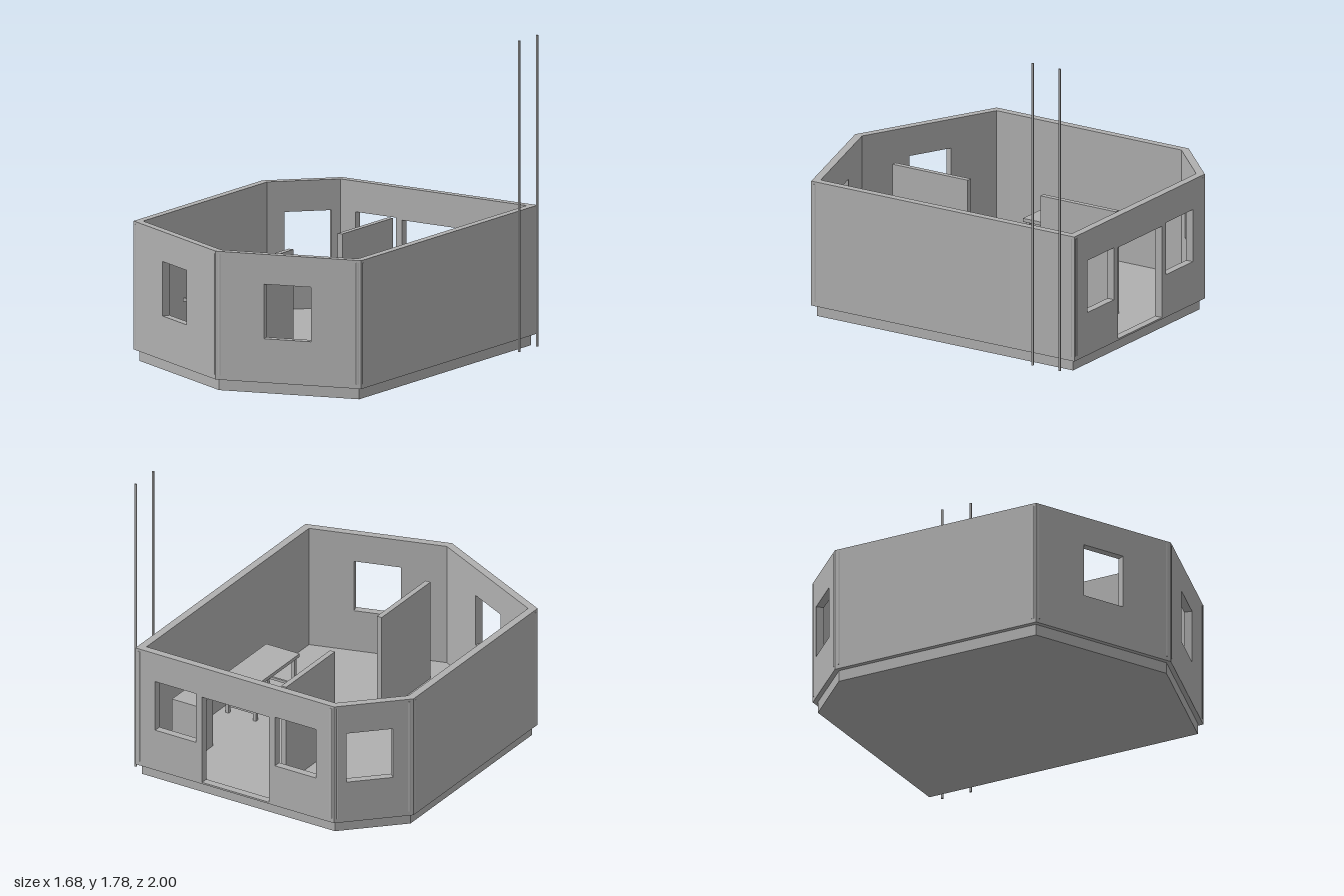
import * as THREE from 'three';

const grey = new THREE.MeshStandardMaterial({ color: 0xb0b0b0 });
grey.name = 'plain grey';

const WALL_BOTTOM = 0.065, WALL_TOP = 0.795, T = 0.045, CENTRE = -0.025;

// Outer wall corners as (x, z), with the openings of the wall that starts there: [x0, x1, y0, y1]
const plan = [
  { p: [-0.84, 0.6], openings: [[-0.55, -0.31, 0.315, 0.625]] },
  { p: [-0.02, 1.0], openings: [[0.25, 0.51, 0.315, 0.625]] },
  { p: [0.79, 0.755], openings: [] },
  { p: [0.79, -1.0], openings: [[0.39, 0.66, 0.315, 0.62], [-0.09, 0.35, 0.075, 0.61], [-0.4, -0.13, 0.315, 0.62]] },
  { p: [-0.52, -1.0], openings: [[-0.57, -0.757, 0.315, 0.62]] },
  { p: [-0.84, -0.68], openings: [] },
];
const corners = plan.map(({ p }) => new THREE.Vector2(...p));
const count = corners.length;
const corner = (i) => corners[(i + count) % count];
const along = (i) => corner(i + 1).clone().sub(corner(i)).normalize();
// Mitre factor: how far an inset of 1 moves the corner along its wall
const mitre = (i) => Math.tan(Math.acos(along(i - 1).dot(along(i))) / 2);

function add(parent, name, geometry, x = 0, y = 0, z = 0) {
  const mesh = new THREE.Mesh(geometry, grey);
  mesh.name = name;
  mesh.position.set(x, y, z);
  parent.add(mesh);
  return mesh;
}

// Box given by its limits
function box(parent, name, x0, x1, y0, y1, z0, z1) {
  return add(parent, name, new THREE.BoxGeometry(x1 - x0, y1 - y0, z1 - z0),
    (x0 + x1) / 2, (y0 + y1) / 2, (z0 + z1) / 2);
}

function rect(Type, x0, x1, y0, y1) {
  return new Type([[x0, y0], [x1, y0], [x1, y1], [x0, y1]].map((q) => new THREE.Vector2(...q)));
}

// One wall panel with cut openings and mitred ends
function wall(i) {
  const a = corner(i), b = corner(i + 1), u = along(i);
  const length = a.distanceTo(b);
  const shape = rect(THREE.Shape, 0, length, WALL_BOTTOM, WALL_TOP);
  for (const [x0, x1, y0, y1] of plan[i].openings) {
    const s = (x) => ((x - a.x) / (b.x - a.x)) * length;
    shape.holes.push(rect(THREE.Path, s(x0), s(x1), y0, y1));
  }
  const g = new THREE.ExtrudeGeometry(shape, { depth: T, bevelEnabled: false });
  g.translate(0, 0, -T);
  const pos = g.attributes.position;
  for (let k = 0; k < pos.count; k++) {
    if (pos.getZ(k) > -T / 2) continue;
    const s = pos.getX(k);
    if (s < 1e-4) pos.setX(k, T * mitre(i));
    else if (s > length - 1e-4) pos.setX(k, length - T * mitre(i + 1));
  }
  g.computeVertexNormals();
  g.rotateY(Math.atan2(-u.y, u.x));
  g.translate(a.x, 0, a.y);
  return g;
}

// Foundation slab, slightly inset from the walls
function slab(inset) {
  const points = corners.map((c, i) => {
    const u = along(i);
    return new THREE.Vector2(
      c.x + u.x * inset * mitre(i) + u.y * inset,
      -(c.y + u.y * inset * mitre(i) - u.x * inset));
  });
  const g = new THREE.ExtrudeGeometry(new THREE.Shape(points), { depth: WALL_BOTTOM, bevelEnabled: false });
  return g.rotateX(-Math.PI / 2);
}

// Desk facing the middle of the room
function desk(side) {
  const group = new THREE.Group();
  group.name = side > 0 ? 'leftDesk' : 'rightDesk';
  box(group, 'deskTop', -0.11, 0.11, 0.28, 0.3, -0.226, 0.226);
  for (const z of [-0.2, 0.2]) {
    for (const x of [-0.09, 0.09]) box(group, 'deskLeg', x - 0.01, x + 0.01, WALL_BOTTOM, 0.28, z - 0.01, z + 0.01);
    box(group, 'deskStretcher', -0.09, 0.09, 0.105, 0.12, z - 0.006, z + 0.006);
  }
  group.position.x = CENTRE + side * 0.625;
  return group;
}

// Chair with its back towards the middle of the room
function chair(side) {
  const group = new THREE.Group();
  group.name = side > 0 ? 'leftChair' : 'rightChair';
  box(group, 'seat', -0.07, 0.07, 0.185, 0.2, -0.07, 0.07);
  box(group, 'backrest', -0.07, -0.055, 0.2, 0.31, -0.07, 0.07);
  for (const x of [-0.06, 0.06])
    for (const z of [-0.06, 0.06])
      box(group, 'chairLeg', x - 0.008, x + 0.008, WALL_BOTTOM, 0.185, z - 0.008, z + 0.008);
  group.position.x = CENTRE + side * 0.385;
  if (side < 0) group.rotation.y = Math.PI;
  return group;
}

export function createModel() {
  const model = new THREE.Group();
  model.name = 'house';

  add(model, 'foundation', slab(0.027));
  const names = ['frontRightWall', 'frontLeftWall', 'leftWall', 'backWall', 'backCornerWall', 'rightWall'];
  names.forEach((name, i) => add(model, name, wall(i)));

  // Paired round trims beside every outer corner
  const trim = new THREE.CylinderGeometry(0.012, 0.012, 0.69, 10);
  for (let i = 0; i < count; i++) {
    for (const u of [along(i), along(i - 1).negate()]) {
      const side = u.dot(along(i)) > 0.999 ? 1 : -1;
      const c = corner(i).clone().addScaledVector(u, 0.022);
      const inward = new THREE.Vector2(u.y, -u.x).multiplyScalar(side * 0.009);
      add(model, 'cornerTrim', trim, c.x + inward.x, 0.435, c.y + inward.y);
    }
  }

  // Two partitions with a passage between them
  box(model, 'backPartition', CENTRE - 0.016, CENTRE + 0.016, WALL_BOTTOM, 0.67, -0.745, -0.242);
  box(model, 'frontPartition', CENTRE - 0.016, CENTRE + 0.016, WALL_BOTTOM, 0.67, 0.242, 0.745);

  // Furniture
  for (const side of [-1, 1]) model.add(desk(side), chair(side));
  box(model, 'cabinet', 0.545, 0.715, WALL_BOTTOM, 0.38, -0.74, -0.58);

  // Outside poles
  for (const z of [-0.93, -0.75])
    add(model, 'pole', new THREE.CylinderGeometry(0.007, 0.007, 1.77, 12), 0.833, 0.895, z);

  return model;
}
